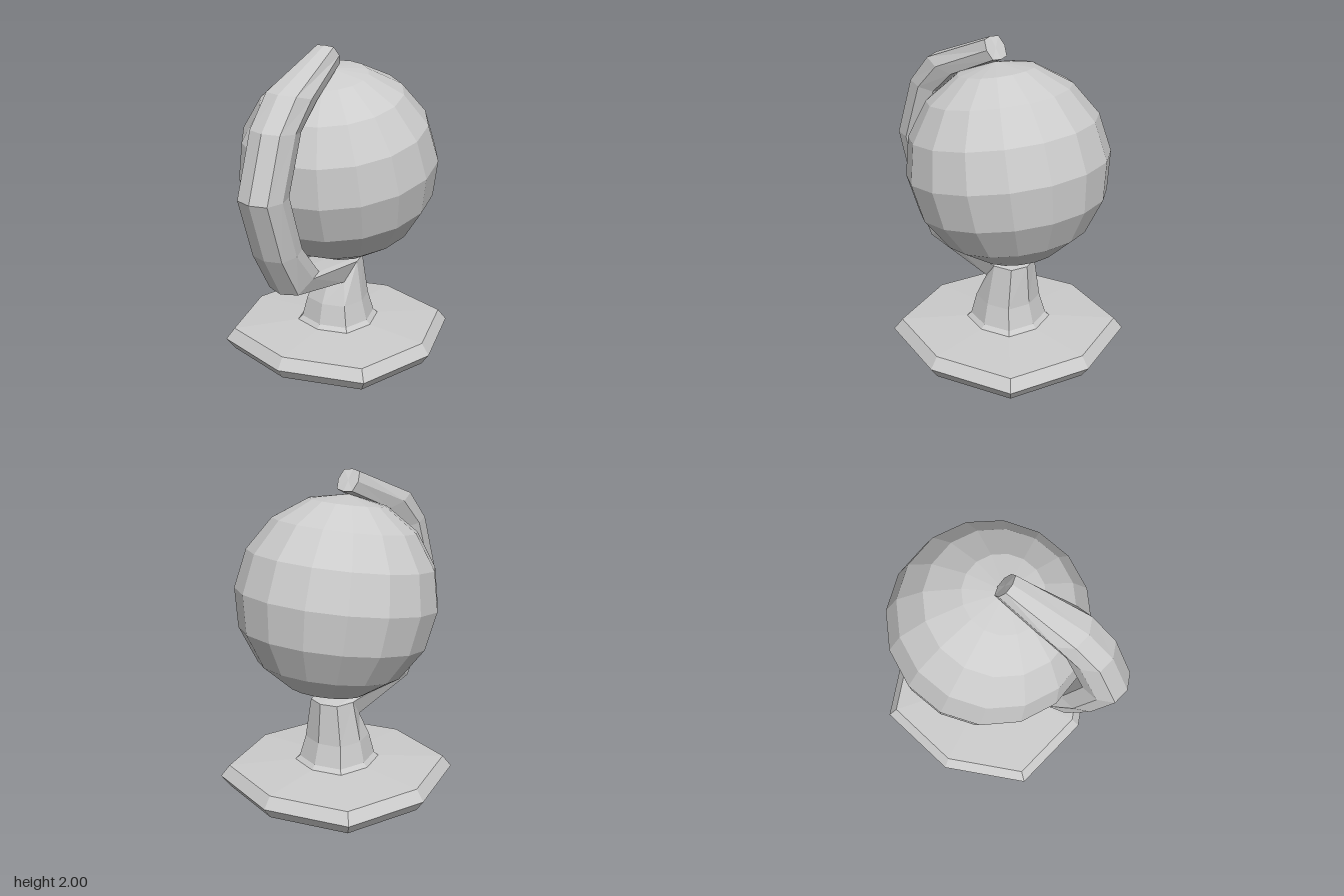
import * as THREE from 'three';

const grey = new THREE.MeshStandardMaterial({ color: 0xcccccc, flatShading: true });
grey.name = 'plain grey';

// Eight-sided ring from its outer, middle and inner points (z, y) and half width
function ring([zo, yo, zm, ym, zi, yi, r]) {
  const d = 0.77;
  const mix = (z, y) => [zm + (z - zm) * d, ym + (y - ym) * 0.9];
  const [zA, yA] = mix(zo, yo);
  const [zB, yB] = mix(zi, yi);
  return [
    [0, yo, zo], [r * d, yA, zA], [r, ym, zm], [r * d, yB, zB],
    [0, yi, zi], [-r * d, yB, zB], [-r, ym, zm], [-r * d, yA, zA],
  ];
}

// Level ring around the stem axis
const level = (y, r, z = -0.122) => [z + r, y, z, y, z - r, y, r];

// Skin a row of rings, closing either end to a centre point
function loft(name, rows, bottom, top) {
  const rings = rows.map(ring);
  const pos = [];
  const tri = (a, b, c) => pos.push(...a, ...b, ...c);
  const last = rings[rings.length - 1];
  for (let i = 0; i < 8; i++) {
    const j = (i + 1) % 8;
    for (let k = 0; k + 1 < rings.length; k++) {
      const a = rings[k], b = rings[k + 1];
      tri(a[i], a[j], b[j]);
      tri(a[i], b[j], b[i]);
    }
    if (bottom) tri(bottom, rings[0][j], rings[0][i]);
    if (top) tri(top, last[i], last[j]);
  }
  const geo = new THREE.BufferGeometry();
  geo.setAttribute('position', new THREE.Float32BufferAttribute(pos, 3));
  geo.computeVertexNormals();
  const mesh = new THREE.Mesh(geo, grey);
  mesh.name = name;
  return mesh;
}

export function createModel() {
  const model = new THREE.Group();
  model.name = 'deskGlobe';

  const foot = level(0.195, 0.24);
  const elbow = [0, 0.48, -0.13, 0.605, -0.28, 0.605, 0.135];

  // Bevelled octagonal base
  model.add(loft('base', [
    level(0.03, 0.62), level(0.1, 0.67), level(0.17, 0.62), foot,
  ], [0, 0, -0.122]));

  // Flared stem up to the elbow
  model.add(loft('stem', [
    foot, level(0.22, 0.215), level(0.35, 0.182, -0.118), elbow,
  ]));

  // Curved arm from the elbow round the front to the tapered tip
  model.add(loft('arm', [
    elbow,
    [0.505, 0.59, 0.36, 0.67, 0.22, 0.67, 0.135],
    [0.66, 0.86, 0.525, 0.87, 0.395, 0.88, 0.135],
    [0.79, 1.24, 0.655, 1.24, 0.518, 1.24, 0.135],
    [0.66, 1.62, 0.525, 1.605, 0.395, 1.59, 0.135],
    [0.5, 1.805, 0.365, 1.77, 0.235, 1.735, 0.135],
    [0.035, 2.0, -0.01, 1.94, -0.055, 1.88, 0.075],
  ], null, [0, 1.94, -0.01]));

  // Tilted faceted ball
  const ball = new THREE.Mesh(new THREE.SphereGeometry(0.617, 16, 8), grey);
  ball.name = 'globe';
  ball.position.set(0, 1.25, -0.115);
  ball.rotation.x = THREE.MathUtils.degToRad(10);
  model.add(ball);

  return model;
}
